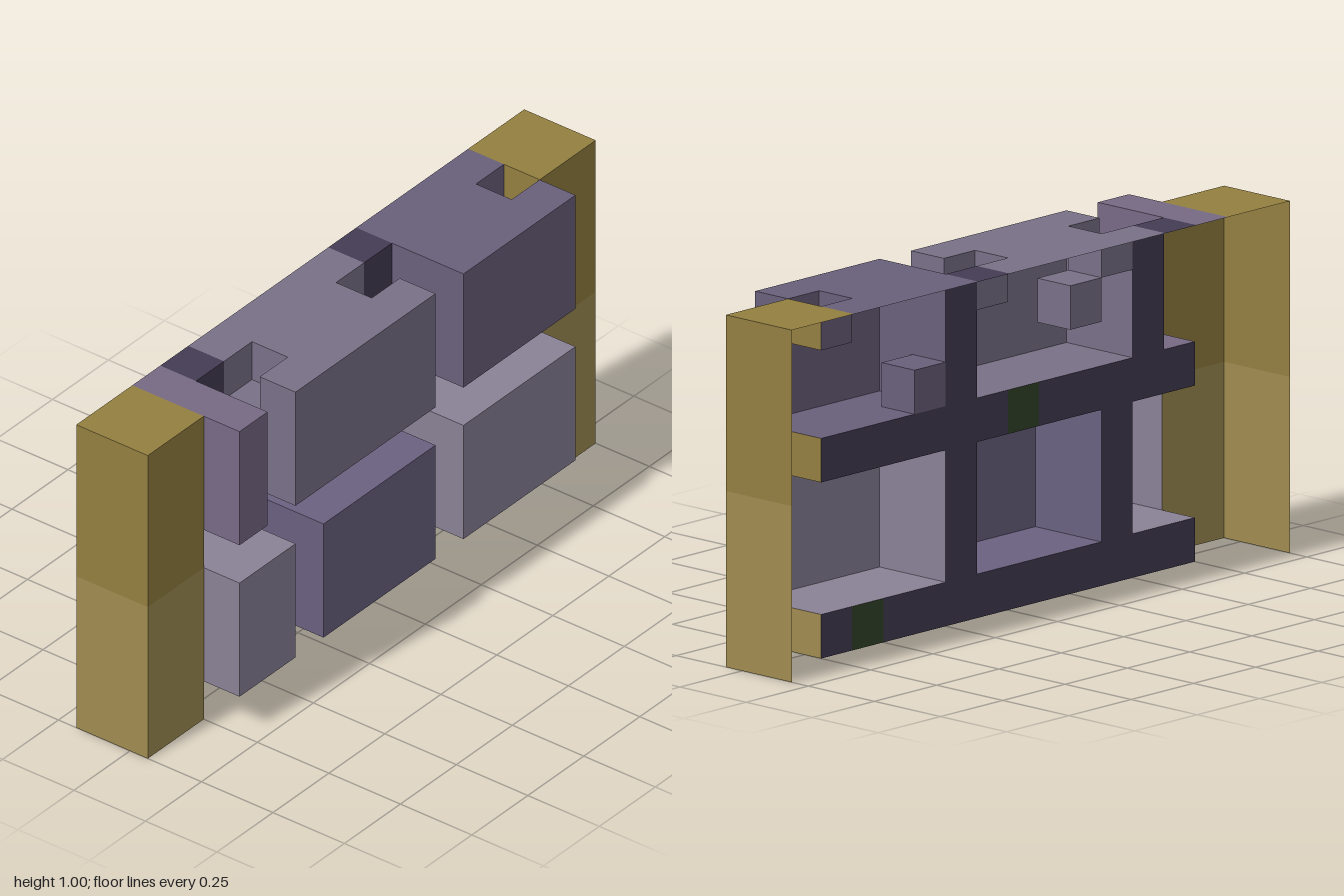
import * as THREE from 'three';
import { mergeGeometries } from 'three/addons/utils/BufferGeometryUtils.js';

const CELL = 0.125;
const SIZE = [16, 8, 3]; // grid cells along x, y, z

// name, colour, first cell, end cell (exclusive); later parts replace earlier ones
const PARTS = [
  ['mortar', 0x443c53, [2, 0, 0], [14, 8, 1]],
  ['mossPatchUpper', 0x34452a, [7, 4, 0], [8, 5, 1]],
  ['mossPatchLower', 0x34452a, [12, 0, 0], [13, 1, 1]],
  ['pillarRightLower', 0xa08c51, [0, 0, 0], [2, 4, 2]],
  ['pillarRightUpper', 0x937f40, [0, 4, 0], [2, 8, 2]],
  ['pillarLeftLower', 0xa08c51, [14, 0, 0], [16, 4, 2]],
  ['pillarLeftUpper', 0x937f40, [14, 4, 0], [16, 8, 2]],
  ['brickUpperRight', 0x776a85, [2, 5, 0], [3, 8, 3]],
  ['brickUpperMiddle', 0x797188, [4, 5, 0], [9, 8, 3]],
  ['brickUpperLeft', 0x69607b, [10, 5, 0], [14, 8, 3]],
  ['brickLowerRight', 0x8a8196, [2, 1, 0], [4, 4, 3]],
  ['brickLowerMiddle', 0x6a6180, [5, 1, 0], [9, 4, 3]],
  ['brickLowerLeft', 0x8a8196, [10, 1, 0], [14, 4, 3]],
];

// Chipped-out cells in the upper bricks
const CHIPS = [[4, 7, 1], [8, 7, 1], [13, 7, 1], [10, 5, 1], [5, 6, 1]];

// Outward directions with the turn that points a plane that way
const SIDES = [
  { d: [1, 0, 0], turn: [0, Math.PI / 2] },
  { d: [-1, 0, 0], turn: [0, -Math.PI / 2] },
  { d: [0, 1, 0], turn: [-Math.PI / 2, 0] },
  { d: [0, -1, 0], turn: [Math.PI / 2, 0] },
  { d: [0, 0, 1], turn: [0, 0] },
  { d: [0, 0, -1], turn: [0, Math.PI] },
];

function eachCell(from, to, visit) {
  for (let x = from[0]; x < to[0]; x++)
    for (let y = from[1]; y < to[1]; y++)
      for (let z = from[2]; z < to[2]; z++) visit([x, y, z]);
}

function face(cell, { d, turn }) {
  const g = new THREE.PlaneGeometry(CELL, CELL);
  g.rotateX(turn[0]).rotateY(turn[1]);
  const c = cell.map((v, a) => (v + 0.5 + d[a] / 2) * CELL);
  return g.translate(c[0] - SIZE[0] * CELL / 2, c[1], c[2] - SIZE[2] * CELL / 2);
}

export function createModel() {
  const group = new THREE.Group();
  group.name = 'brickWall';

  // Fill the grid, then knock out the chips
  const owner = new Map();
  PARTS.forEach(([, , from, to], i) => eachCell(from, to, (c) => owner.set(c.join(), i)));
  CHIPS.forEach((c) => owner.delete(c.join()));

  PARTS.forEach(([name, color, from, to], i) => {
    const faces = [];
    eachCell(from, to, (c) => {
      if (owner.get(c.join()) !== i) return;
      for (const side of SIDES) {
        const next = c.map((v, a) => v + side.d[a]);
        // The wall is an open shell at its back and underside
        if (next[1] < 0 || next[2] < 0 || owner.has(next.join())) continue;
        faces.push(face(c, side));
      }
    });
    const material = new THREE.MeshStandardMaterial({ color, side: THREE.DoubleSide });
    const mesh = new THREE.Mesh(mergeGeometries(faces), material);
    mesh.name = name;
    group.add(mesh);
  });
  return group;
}
